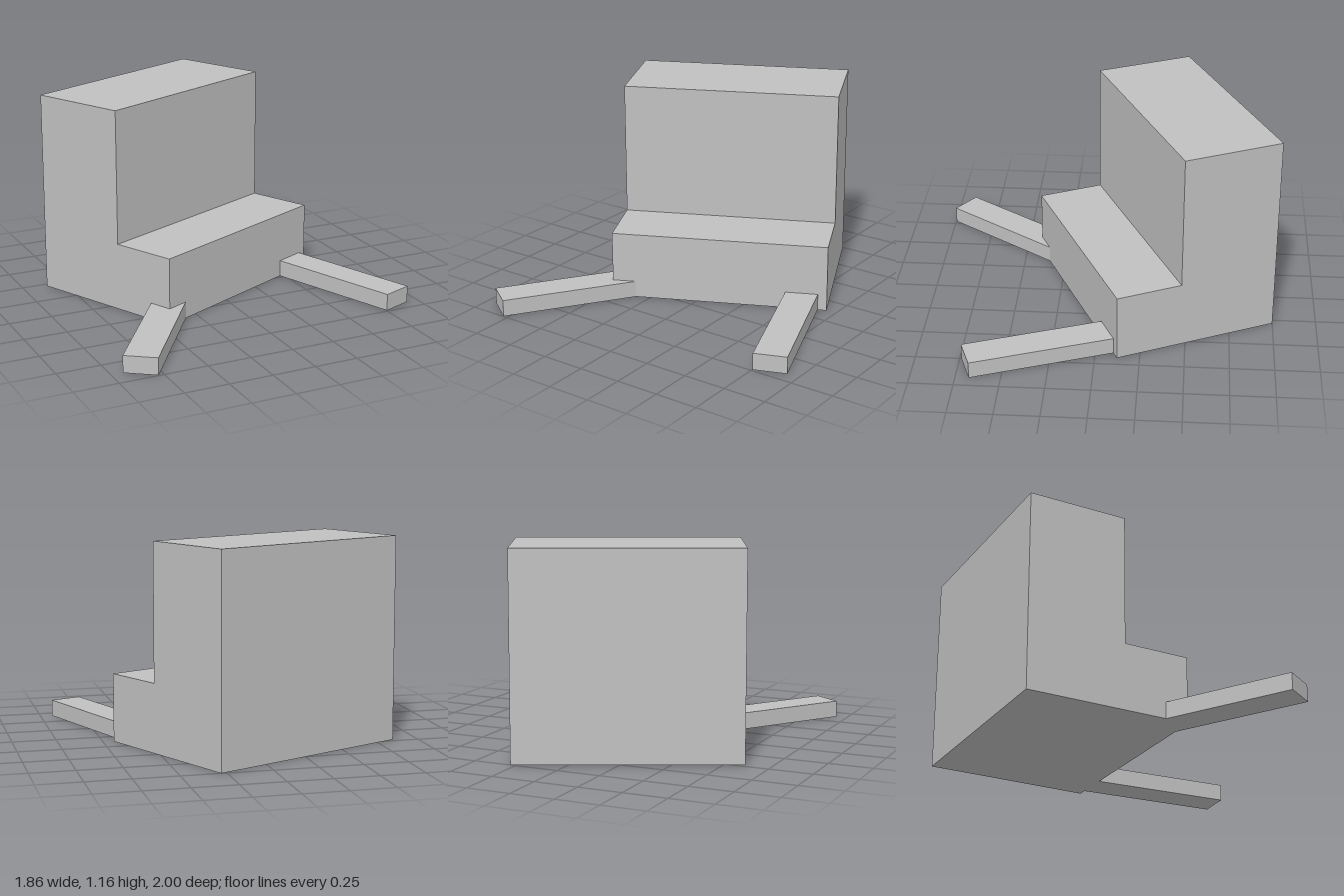
import * as THREE from 'three';

export function createModel() {
  const model = new THREE.Group();
  const grey = new THREE.MeshStandardMaterial({ color: 0xc0c0c0 });
  grey.name = 'plain grey';

  // Stepped body: side profile (depth, height) extruded across its width
  const width = 1.257, back = -0.483, step = 0.098, front = 0.483;
  const profile = new THREE.Shape([
    [back, 0], [front, 0], [front, 0.39], [step, 0.39], [step, 1.165], [back, 1.165],
  ].map(([z, y]) => new THREE.Vector2(z, y)));
  const bodyGeometry = new THREE.ExtrudeGeometry(profile, { depth: width, bevelEnabled: false });
  bodyGeometry.translate(0, 0, -width / 2).rotateY(-Math.PI / 2);
  const body = new THREE.Mesh(bodyGeometry, grey);
  body.name = 'steppedBody';
  body.position.set(-0.085, 0, -0.297);
  body.rotation.y = 0.435;
  model.add(body);

  // Flat arms: each runs back from its tip into the body
  function addArm(name, x, z, angle, length) {
    const geometry = new THREE.BoxGeometry(0.188, 0.097, length);
    geometry.translate(0, 0.0485, -length / 2);
    const arm = new THREE.Mesh(geometry, grey);
    arm.name = name;
    arm.position.set(x, 0, z);
    arm.rotation.y = angle;
    model.add(arm);
  }
  addArm('rightArm', -0.857, 0.943, -0.609, 0.85);
  addArm('leftArm', 0.841, 0.707, 0.355, 0.88);

  return model;
}
